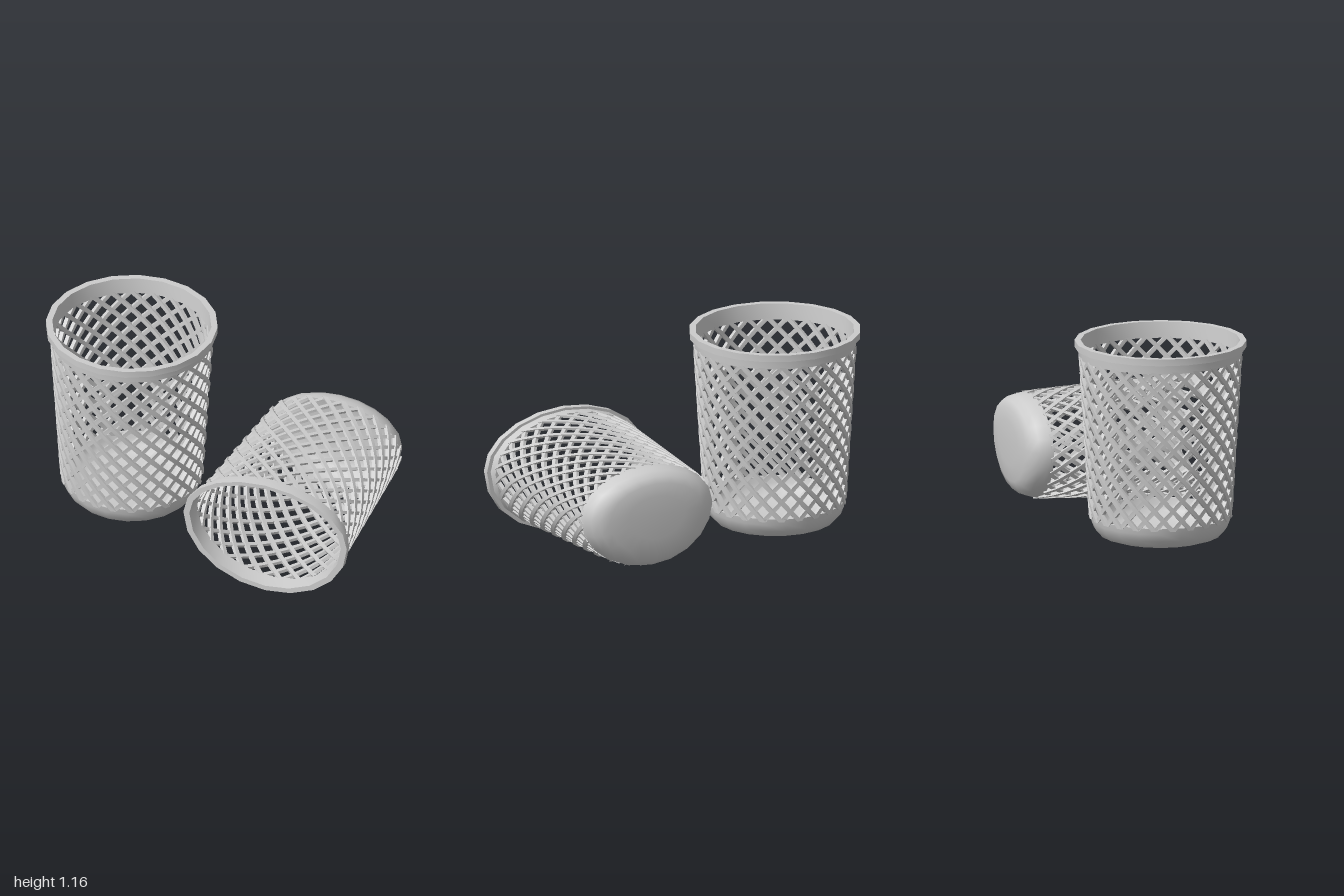
import * as THREE from 'three';
import { mergeGeometries, toCreasedNormals } from 'three/addons/utils/BufferGeometryUtils.js';

const material = new THREE.MeshStandardMaterial({ color: 0xcccccc });
const SIDES = 20, STRANDS = 24, ROWS = 8;
const LOW = 0.16, HIGH = 1.08;

function lathe(profile) {
  return new THREE.LatheGeometry(profile.map(([r, y]) => new THREE.Vector2(r, y)), SIDES);
}

// One slanted bar of the mesh wall, swept around the tapering side
function strand(start, dir) {
  const steps = ROWS * 2, twist = (ROWS * 2 * Math.PI) / STRANDS;
  const pos = [], index = [];
  for (let i = 0; i <= steps; i++) {
    const t = i / steps;
    const y = THREE.MathUtils.lerp(HIGH, LOW, 1 - t);
    const r = THREE.MathUtils.lerp(0.383, 0.44, t) + dir * 0.004;
    const a = start + dir * twist * (1 - t);
    const w = 0.016 / r, d = 0.011;
    for (const [da, dr] of [[-w, d], [w, d], [w, -d], [-w, -d]]) {
      pos.push((r + dr) * Math.sin(a + da), y, (r + dr) * Math.cos(a + da));
    }
    if (i === steps) break;
    for (let j = 0; j < 4; j++) {
      const p = i * 4 + j, q = i * 4 + ((j + 1) % 4);
      index.push(p, q, q + 4, p, q + 4, p + 4);
    }
  }
  const g = new THREE.BufferGeometry();
  g.setAttribute('position', new THREE.Float32BufferAttribute(pos, 3));
  g.setIndex(index);
  return g;
}

function latticeGeometry() {
  const bars = [];
  for (let i = 0; i < STRANDS; i++) {
    const start = ((i + 0.5) * 2 * Math.PI) / STRANDS;
    bars.push(strand(start, 1), strand(start, -1));
  }
  return mergeGeometries(bars);
}

// Builds a basket; place() maps each upright point to its final position
function basket(name, place) {
  const group = new THREE.Group();
  group.name = name;
  const add = (partName, geometry, crease) => {
    const p = geometry.attributes.position, v = new THREE.Vector3();
    for (let i = 0; i < p.count; i++) {
      place(v.fromBufferAttribute(p, i));
      p.setXYZ(i, v.x, v.y, v.z);
    }
    const mesh = new THREE.Mesh(toCreasedNormals(geometry, crease), material);
    mesh.name = partName;
    group.add(mesh);
  };

  // Solid band with a protruding lip
  add('rim', lathe([
    [0.432, 1.07], [0.452, 1.07], [0.455, 1.122], [0.477, 1.122],
    [0.477, 1.16], [0.442, 1.16], [0.432, 1.07],
  ]), 0.5);

  // Open diamond mesh wall
  add('latticeWall', latticeGeometry(), 0.5);

  // Rounded bowl-shaped bottom with thickness
  add('base', lathe([
    [0, 0.03], [0.17, 0.033], [0.28, 0.042], [0.335, 0.06], [0.37, 0.098],
    [0.386, 0.14], [0.392, 0.175], [0.374, 0.175], [0.366, 0.14],
    [0.352, 0.108], [0.32, 0.077], [0.27, 0.061], [0.17, 0.053], [0, 0.05],
  ]), 0.9);
  return group;
}

export function createModel() {
  const model = new THREE.Group();
  model.name = 'wasteBaskets';

  model.add(basket('uprightBasket', (v) => v.set(v.x - 0.523, v.y, v.z)));

  // Lying on its side, mouth to the front, sagging into an egg-shaped section
  model.add(basket('lyingBasket', (v) => {
    const up = -v.z;
    v.set(0.51 + v.x * 1.027, 0.4 + up * (up > 0 ? 0.635 : 0.838), v.y - 0.593);
  }));
  return model;
}
